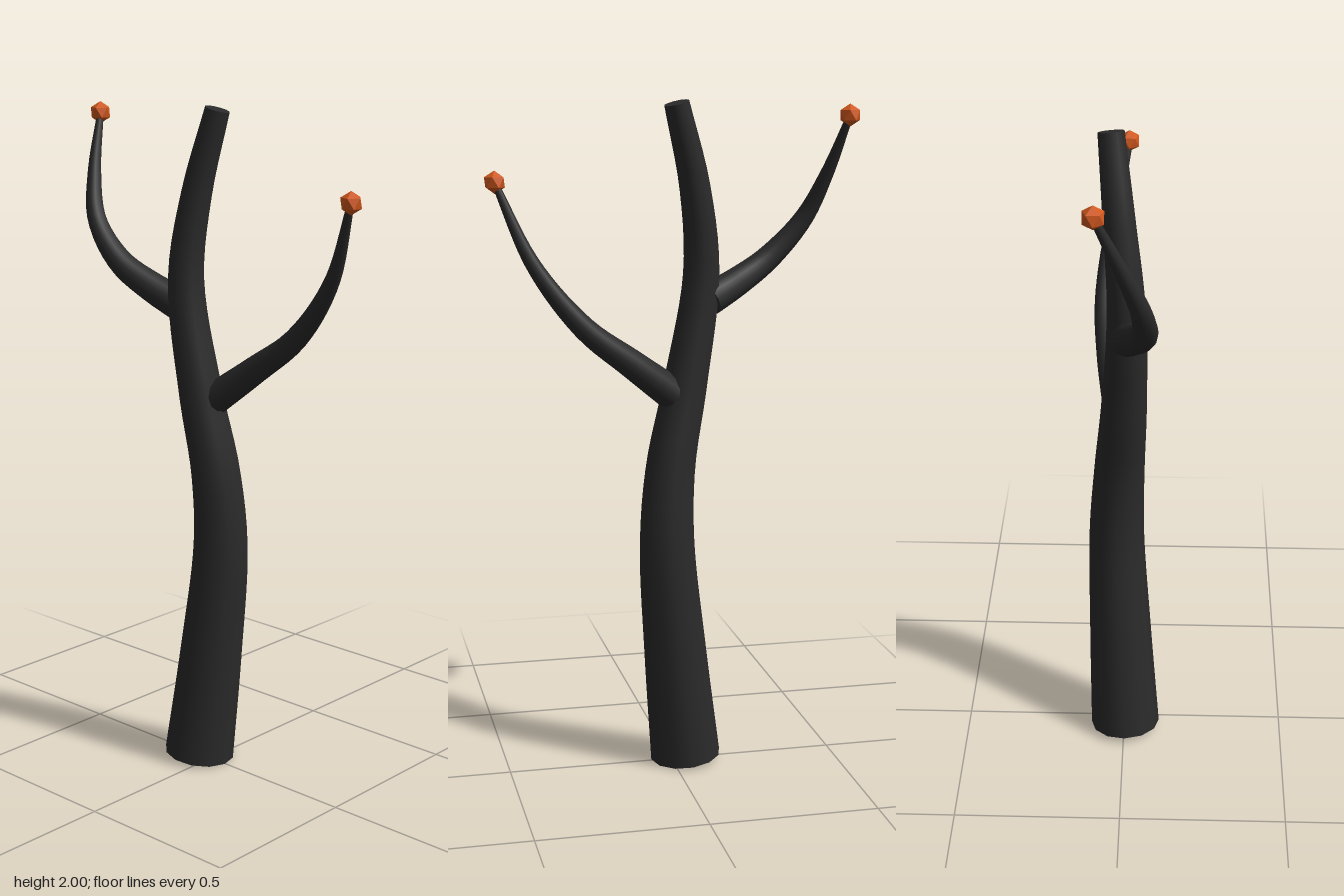
import * as THREE from 'three';
import { mergeGeometries } from 'three/addons/utils/BufferGeometryUtils.js';

const SIDES = 12;

// Flat end cap sharing the outline of one ring of a tube
function ringCap(tube, ring, atEnd) {
  const p = tube.attributes.position;
  const first = ring * (SIDES + 1);
  const at = (i) => new THREE.Vector3().fromBufferAttribute(p, first + i);
  const centre = at(0).add(at(SIDES / 2)).multiplyScalar(0.5);
  const points = [];
  for (let i = 0; i < SIDES; i++) {
    points.push(centre, ...(atEnd ? [at(i + 1), at(i)] : [at(i), at(i + 1)]));
  }
  const cap = new THREE.BufferGeometry().setFromPoints(points);
  // Make sure the cap faces away from the neighbouring ring
  const inner = new THREE.Vector3().fromBufferAttribute(p, (ring + (atEnd ? -1 : 1)) * (SIDES + 1));
  const normal = points[1].clone().sub(centre).cross(points[2].clone().sub(centre));
  if (normal.dot(inner.sub(centre)) > 0) {
    for (let i = 0; i < points.length; i += 3) [points[i + 1], points[i + 2]] = [points[i + 2], points[i + 1]];
    cap.setFromPoints(points);
  }
  cap.computeVertexNormals();
  cap.setAttribute('uv', new THREE.Float32BufferAttribute(points.length * 2, 2));
  return cap;
}

// Curved limb tapering from r0 to r1 along a smooth path
function limb(path, r0, r1, steps) {
  const curve = new THREE.CatmullRomCurve3(path.map((c) => new THREE.Vector3(...c)));
  const tube = new THREE.TubeGeometry(curve, steps, 1, SIDES, false);
  const p = tube.attributes.position;
  const v = new THREE.Vector3();
  for (let i = 0; i < p.count; i++) {
    const t = Math.floor(i / (SIDES + 1)) / steps;
    const c = curve.getPointAt(t);
    v.fromBufferAttribute(p, i).sub(c).multiplyScalar(r0 + (r1 - r0) * t).add(c);
    p.setXYZ(i, v.x, v.y, v.z);
  }
  return mergeGeometries([tube.toNonIndexed(), ringCap(tube, 0, false), ringCap(tube, steps, true)]);
}

export function createModel() {
  const bark = new THREE.MeshStandardMaterial({ color: 0x2b2b2b });
  bark.name = 'charcoal bark';
  const ember = new THREE.MeshStandardMaterial({ color: 0xd2591e, flatShading: true });
  ember.name = 'orange bud';

  const group = new THREE.Group();
  group.name = 'bareTree';
  const add = (name, geometry, material) => {
    const mesh = new THREE.Mesh(geometry, material);
    mesh.name = name;
    group.add(mesh);
    return mesh;
  };

  // Swaying trunk
  add('trunk', limb([
    [-0.045, 0.012, 0.004], [-0.01, 0.35, -0.012], [0.018, 0.7, -0.024], [0.005, 0.93, -0.015],
    [-0.042, 1.17, 0.0], [-0.092, 1.5, 0.008], [-0.068, 1.75, -0.012], [-0.008, 1.994, -0.036],
  ], 0.108, 0.037, 40), bark);

  // Branches, each tipped with a faceted bud
  const branches = {
    left: [[0.0, 1.15, -0.015], [0.13, 1.25, -0.045], [0.27, 1.36, -0.064], [0.41, 1.54, -0.048], [0.512, 1.775, 0.0]],
    right: [[-0.12, 1.425, 0.01], [-0.2, 1.465, 0.035], [-0.31, 1.535, 0.063], [-0.415, 1.65, 0.056],
      [-0.472, 1.785, 0.01], [-0.517, 1.957, -0.062]],
  };
  for (const [side, path] of Object.entries(branches)) {
    add(side + 'Branch', limb(path, 0.05, 0.01, 24), bark);
    const bud = add(side + 'Bud', new THREE.IcosahedronGeometry(0.033, 0), ember);
    bud.geometry.rotateZ(-0.5536);
    bud.position.set(...path[path.length - 1]);
  }
  return group;
}
